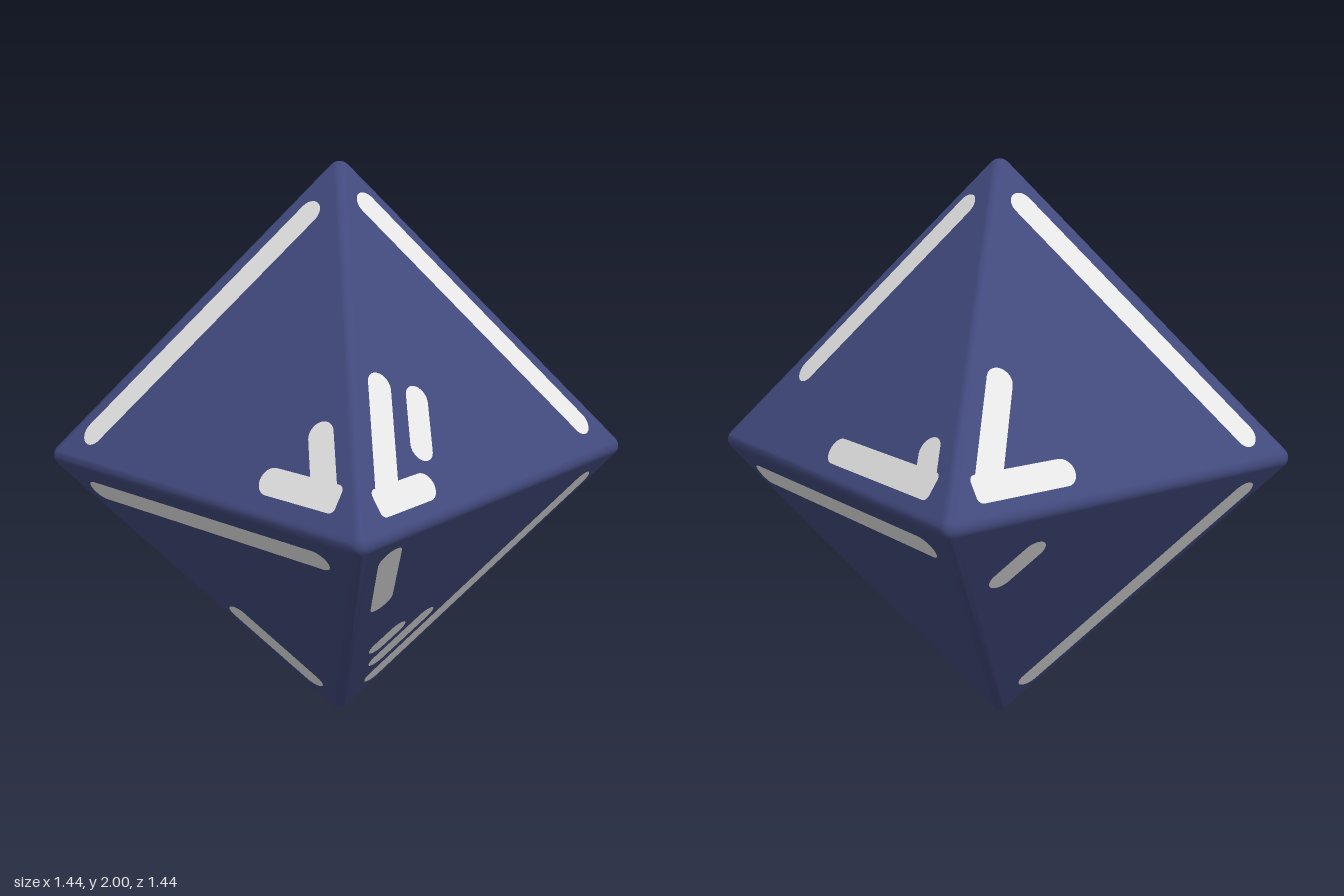
import * as THREE from 'three';
import { ConvexGeometry } from 'three/addons/geometries/ConvexGeometry.js';

const R = 0.04;                       // edge rounding
const H = 0.96;                       // centre to corner, before rounding
const D = H / Math.sqrt(3) + R;       // centre to face
const TILT = Math.asin(1 / Math.sqrt(3));
const W = 0.045;                      // half width of a mark

// Regular octahedron with rounded edges: hull of six small spheres
function roundedOctahedron() {
  const corners = [];
  for (const s of [1, -1]) {
    corners.push(new THREE.Vector3(s * H, 0, 0), new THREE.Vector3(0, s * H, 0), new THREE.Vector3(0, 0, s * H));
  }
  const ball = new THREE.OctahedronGeometry(1, 5).attributes.position;
  const seen = new Set(), points = [], n = new THREE.Vector3();
  for (const c of corners) {
    for (let i = 0; i < ball.count; i++) {
      n.fromBufferAttribute(ball, i);
      const m = Math.max(Math.abs(n.x), Math.abs(n.y), Math.abs(n.z));
      if (n.dot(c) / H < m - 1e-4) continue;
      const p = n.clone().multiplyScalar(R).add(c);
      const key = p.toArray().map((v) => Math.round(v * 1e4)).join();
      if (!seen.has(key)) { seen.add(key); points.push(p); }
    }
  }
  const geo = new ConvexGeometry(points);
  // Smooth normals point away from the nearest sphere centre
  const pos = geo.attributes.position, p = new THREE.Vector3();
  for (let i = 0; i < pos.count; i++) {
    p.fromBufferAttribute(pos, i);
    const c = corners.reduce((a, b) => (p.distanceToSquared(b) < p.distanceToSquared(a) ? b : a));
    n.copy(p).sub(c).normalize();
    geo.attributes.normal.setXYZ(i, n.x, n.y, n.z);
  }
  return geo.rotateY(Math.PI / 4);
}

// Flat bar from a to b with a round start; the end is round or nearly square
function barGeometry(ax, ay, bx, by, endRadius) {
  const L = Math.hypot(bx - ax, by - ay) + W, e = endRadius, s = new THREE.Shape();
  s.absarc(0, 0, W, Math.PI / 2, Math.PI * 1.5, false);
  s.lineTo(L - e, -W);
  s.absarc(L - e, -W + e, e, -Math.PI / 2, 0, false);
  s.absarc(L - e, W - e, e, 0, Math.PI / 2, false);
  const geo = new THREE.ShapeGeometry(s, 10);
  return geo.rotateZ(Math.atan2(by - ay, bx - ax)).translate(ax, ay, 0);
}

// Marks per face: [across, height, across, height, squareEnd]
// turn counts quarter turns from the front; side is 1 above, -1 below
const FACES = [
  { name: 'frontUpper', turn: 0, side: 1, bars: [
    [-0.535, 1.10, -0.013, 1.836], [0.31, 1.10, 0.535, 1.10, true], [0.42, 1.243, 0.525, 1.10]] },
  { name: 'frontLower', turn: 0, side: -1, bars: [
    [-0.515, 0.90, 0.495, 0.90], [-0.192, 0.423, -0.008, 0.164]] },
  { name: 'rightUpper', turn: 1, side: 1, bars: [
    [0.003, 1.863, 0.525, 1.11], [-0.372, 1.09, -0.55, 1.09, true],
    [-0.351, 1.365, -0.54, 1.095], [-0.219, 1.307, -0.303, 1.185]] },
  { name: 'rightLower', turn: 1, side: -1, bars: [
    [0.535, 0.90, 0.024, 0.175], [-0.535, 0.915, -0.367, 0.677],
    [0.066, 0.444, -0.05, 0.29], [-0.087, 0.439, -0.129, 0.386]] },
  { name: 'backUpper', turn: 2, side: 1, bars: [
    [-0.404, 1.278, -0.014, 1.845], [0.026, 1.09, 0.53, 1.09, true], [0.471, 1.17, 0.525, 1.095]] },
  { name: 'backLower', turn: 2, side: -1, bars: [[-0.515, 0.90, 0.52, 0.90]] },
  { name: 'leftUpper', turn: 3, side: 1, bars: [
    [-0.001, 1.851, 0.534, 1.095], [-0.26, 1.09, -0.545, 1.09, true], [-0.359, 1.352, -0.54, 1.09]] },
  { name: 'leftLower', turn: 3, side: -1, bars: [
    [0.535, 0.90, 0.024, 0.175], [-0.34, 0.85, -0.41, 0.76]] },
];

export function createModel() {
  const navy = new THREE.MeshStandardMaterial({ color: 0x424a7e });
  navy.name = 'navy';
  const white = new THREE.MeshStandardMaterial({ color: 0xf4f4f4 });
  white.name = 'white';

  const model = new THREE.Group();
  model.name = 'markedOctahedron';

  const body = new THREE.Mesh(roundedOctahedron(), navy);
  body.name = 'body';
  body.position.y = 1;
  model.add(body);

  // Painted marks lie just above each face
  for (const { name, turn, side, bars } of FACES) {
    const face = new THREE.Group();
    face.name = name + 'Marks';
    face.position.y = 1;
    face.rotation.set(-side * TILT, turn * Math.PI / 2, 0, 'YXZ');
    const slope = (y) => (y - 1 - side * D * Math.sin(TILT)) / Math.cos(TILT);
    for (const [ax, ay, bx, by, square] of bars) {
      const mark = new THREE.Mesh(barGeometry(ax, slope(ay), bx, slope(by), square ? 0.02 : W), white);
      mark.name = 'bar';
      mark.position.z = D + 0.003;
      face.add(mark);
    }
    model.add(face);
  }
  return model;
}
